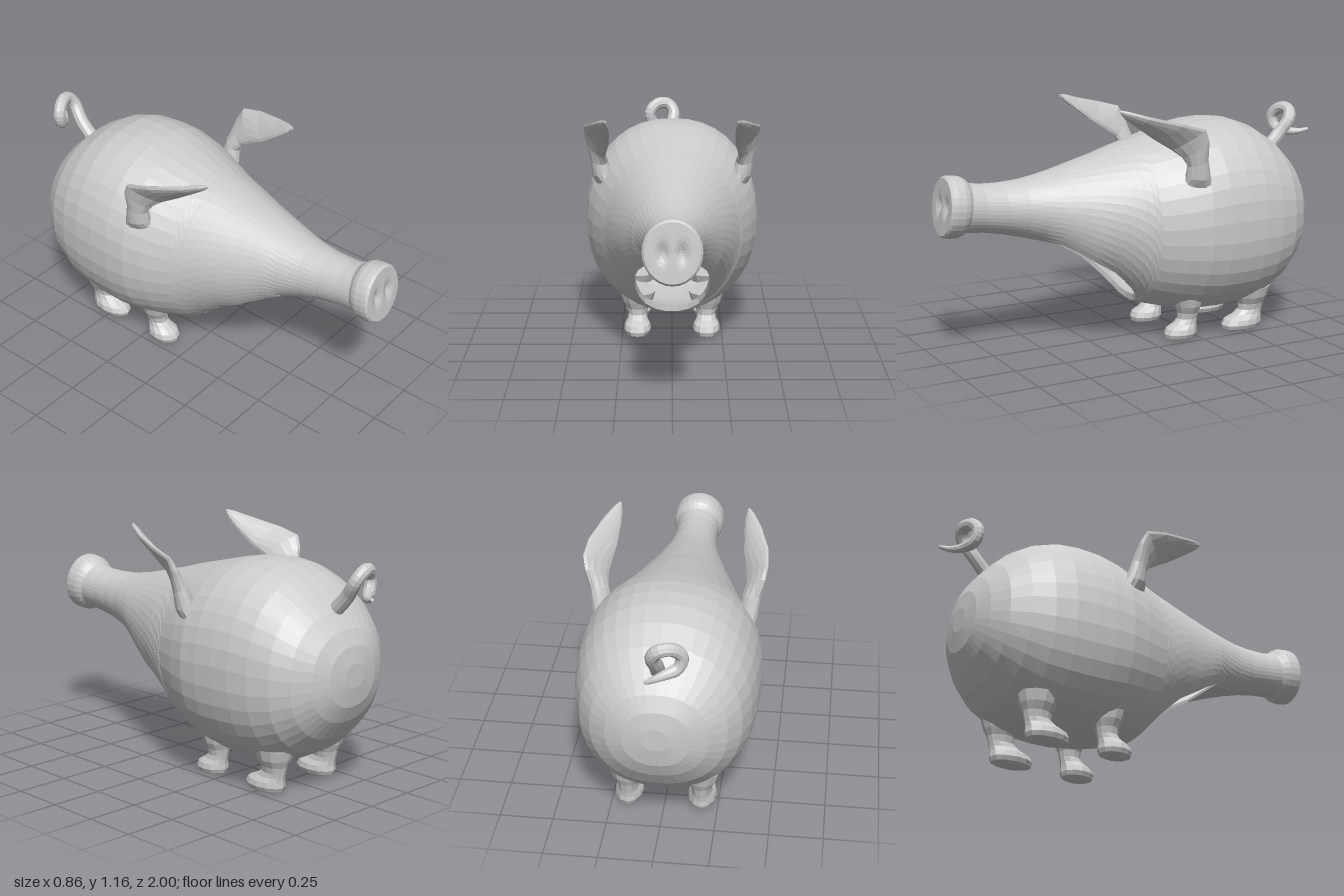
import * as THREE from 'three';

const V = (x, y, z) => new THREE.Vector3(x, y, z);
const TAU = Math.PI * 2;
const grey = new THREE.MeshStandardMaterial({ color: 0xcccccc, flatShading: true });
const greyDouble = new THREE.MeshStandardMaterial({ color: 0xcccccc, flatShading: true, side: THREE.DoubleSide });

// Skin a list of rings (counter-clockwise about the direction of advance).
// skip(i) leaves out the closing quad between ring i and ring i + 1.
function skin(rings, { caps = true, flip = false, skip = () => false } = {}) {
  const pos = [];
  const tri = (a, b, c) => (flip ? [a, c, b] : [a, b, c]).forEach(p => pos.push(p.x, p.y, p.z));
  const n = rings[0].length;
  for (let i = 0; i < rings.length - 1; i++) {
    for (let j = 0; j < n; j++) {
      if (j === n - 1 && skip(i)) continue;
      const k = (j + 1) % n;
      tri(rings[i][j], rings[i][k], rings[i + 1][k]);
      tri(rings[i][j], rings[i + 1][k], rings[i + 1][j]);
    }
  }
  if (caps) {
    [rings[0], rings[rings.length - 1]].forEach((r, end) => {
      const c = r.reduce((s, p) => s.add(p), V(0, 0, 0)).divideScalar(n);
      for (let j = 0; j < n; j++) {
        const k = (j + 1) % n;
        if (end) tri(c, r[j], r[k]); else tri(c, r[k], r[j]);
      }
    });
  }
  const g = new THREE.BufferGeometry();
  g.setAttribute('position', new THREE.Float32BufferAttribute(pos, 3));
  g.computeVertexNormals();
  return g;
}

function add(parent, name, geometry, material = grey) {
  const m = new THREE.Mesh(geometry, material);
  m.name = name;
  parent.add(m);
  return m;
}

// Body sections from rump to neck: z, top, bottom, half width, half width of the flat or open underside
const SECTIONS = [
  [-0.888, 0.64, 0.53, 0.06, 0.01], [-0.874, 0.72, 0.44, 0.15, 0.02], [-0.84, 0.79, 0.365, 0.23, 0.03],
  [-0.78, 0.868, 0.277, 0.308, 0.04], [-0.7, 0.947, 0.198, 0.365, 0.05], [-0.6, 1.01, 0.143, 0.4, 0.05],
  [-0.5, 1.045, 0.12, 0.418, 0.05], [-0.4, 1.055, 0.113, 0.425, 0.05], [-0.3, 1.05, 0.115, 0.427, 0.05],
  [-0.2, 1.03, 0.126, 0.42, 0.05], [-0.1, 1.005, 0.146, 0.39, 0.04], [0, 0.98, 0.173, 0.35, 0.03],
  [0.03, 0.973, 0.185, 0.338, 0.03], [0.04, 0.97, 0.19, 0.334, 0.08], [0.06, 0.965, 0.204, 0.326, 0.13],
  [0.1, 0.955, 0.234, 0.312, 0.16], [0.15, 0.94, 0.27, 0.295, 0.175], [0.2, 0.925, 0.307, 0.277, 0.18],
  [0.3, 0.9, 0.356, 0.24, 0.175], [0.38, 0.88, 0.416, 0.21, 0.158], [0.45, 0.862, 0.478, 0.185, 0.13],
  [0.52, 0.848, 0.528, 0.158, 0.075], [0.6, 0.836, 0.56, 0.132, 0.04], [0.7, 0.83, 0.588, 0.113, 0.02],
  [0.8, 0.832, 0.607, 0.106, 0.02], [0.87, 0.845, 0.613, 0.108, 0.02], [0.92, 0.86, 0.62, 0.11, 0.02],
];
const HOLE_START = 12, HOLE_END = 20, ARC = 36;

// Rounded arc from one edge of the underside round to the other, slightly squarer towards the rump
function bodyRing([z, top, bottom, w, h]) {
  const e = 1 - 0.1 * THREE.MathUtils.clamp((0.1 - z) / 0.4, 0, 1);
  const pow = v => Math.sign(v) * Math.abs(v) ** e;
  const a = Math.asin((h / w) ** (1 / e)), yc = (top + bottom) / 2, ry = (top - bottom) / 2;
  return Array.from({ length: ARC + 1 }, (_, j) => {
    const t = a + (TAU - 2 * a) * j / ARC;
    return V(w * pow(Math.sin(t)), yc - ry * pow(Math.cos(t)), z);
  });
}

function addBody(root) {
  const skip = i => i >= HOLE_START && i < HOLE_END;
  const outer = SECTIONS.map(bodyRing);
  const inner = SECTIONS.map(([z, t, b, w, h]) =>
    bodyRing([z < 0 ? z * 0.965 : z, t - 0.06 * (t - b), b + 0.04 * (t - b), w * 0.94, h * 0.97]));
  add(root, 'body', skin(outer, { skip }));
  add(root, 'hollowInside', skin(inner, { skip, flip: true }));
  // Lip joining both skins round the chest opening
  const loop = rings => {
    const part = rings.slice(HOLE_START, HOLE_END + 1);
    return [...part.map(r => r[0]), ...part.map(r => r[ARC]).reverse()];
  };
  add(root, 'openingRim', skin([loop(outer), loop(inner)], { caps: false }), greyDouble);
}

function addSnout(root) {
  const snout = new THREE.Group();
  snout.name = 'snout';
  const profile = [[0.1, -0.03], [0.111, -0.012], [0.122, 0.002], [0.129, 0.022], [0.131, 0.06], [0.129, 0.082], [0.12, 0.092]]
    .map(p => new THREE.Vector2(...p));
  add(snout, 'snoutRim', new THREE.LatheGeometry(profile, 28), greyDouble);
  // Face of the snout with two shallow nostril dents
  const face = new THREE.RingGeometry(0.001, 0.12, 28, 8);
  const p = face.attributes.position;
  for (let i = 0; i < p.count; i++) {
    const x = Math.abs(p.getX(i)) - 0.042, y = p.getY(i);
    p.setZ(i, -0.018 * Math.exp(-((x / 0.022) ** 2) - (y / 0.035) ** 2));
  }
  face.rotateX(-Math.PI / 2).translate(0, 0.092, 0);
  add(snout, 'snoutFace', face);
  snout.scale.z = 1.1;
  snout.rotation.x = Math.PI / 2 - 0.1;
  snout.position.set(0, 0.735, 0.895);
  root.add(snout);
}

// Ear edges from the base, sunk into the shoulder, to the tip
const EAR_UPPER = [[0.36, 0.76, -0.23], [0.37, 0.83, -0.205], [0.388, 0.92, -0.18], [0.416, 1.01, -0.167],
  [0.428, 1.07, -0.14], [0.42, 1.1, -0.03], [0.375, 1.135, 0.12], [0.335, 1.16, 0.205], [0.312, 1.168, 0.24]];
const EAR_LOWER = [[0.31, 0.78, -0.09], [0.315, 0.84, -0.1], [0.322, 0.89, -0.105], [0.325, 0.93, -0.075],
  [0.314, 0.97, -0.02], [0.3, 1.02, 0.06], [0.294, 1.085, 0.15], [0.296, 1.13, 0.21], [0.304, 1.155, 0.235]];
const EAR_THICK = [0.02, 0.045, 0.038, 0.026, 0.02, 0.018, 0.016, 0.013, 0.007];

function addEar(root, side) {
  const up = EAR_UPPER.map(p => V(...p)), lo = EAR_LOWER.map(p => V(...p));
  const mid = up.map((p, i) => p.clone().add(lo[i]).multiplyScalar(0.5));
  const rings = mid.map((c, i) => {
    const dir = mid[Math.min(i + 1, mid.length - 1)].clone().sub(mid[Math.max(i - 1, 0)]);
    const e = up[i].clone().sub(lo[i]).multiplyScalar(0.5);
    const n = dir.cross(e).normalize().multiplyScalar(EAR_THICK[i]);
    return Array.from({ length: 12 }, (_, j) => {
      const t = TAU * j / 12;
      const q = c.clone().addScaledVector(e, Math.cos(t)).addScaledVector(n, Math.sin(t));
      q.x *= side;
      return q;
    });
  });
  add(root, side > 0 ? 'leftEar' : 'rightEar', skin(rings, { flip: side < 0 }));
}

// Leg rings from sole to hip: y, half width, z centre, half depth
const LEG = [[0.005, 0.036, 0.005, 0.055], [0.015, 0.058, 0.008, 0.078], [0.035, 0.068, 0.007, 0.084],
  [0.06, 0.064, 0.002, 0.078], [0.082, 0.05, -0.018, 0.06], [0.105, 0.046, -0.032, 0.05],
  [0.135, 0.054, -0.034, 0.053], [0.17, 0.075, -0.033, 0.066], [0.22, 0.09, -0.03, 0.08]];

function addLeg(root, name, x, z, stretch) {
  const rings = LEG.map(([y, w, zc, d]) => Array.from({ length: 12 }, (_, j) => {
    const t = TAU * j / 12;
    return V(x + w * Math.cos(t), y, z + stretch * (zc - d * Math.sin(t)));
  }));
  add(root, name, skin(rings));
}

function addTail(root) {
  const curve = new THREE.CatmullRomCurve3([
    [0, 0.86, -0.76], [0, 0.94, -0.835], [0.01, 1.01, -0.885], [-0.02, 1.05, -0.9], [-0.075, 1.053, -0.885],
    [-0.115, 1.01, -0.865], [-0.1, 0.955, -0.872], [-0.045, 0.937, -0.905], [0, 0.938, -0.95], [0.025, 0.95, -0.993],
  ].map(p => V(...p)));
  const N = 36, f = curve.computeFrenetFrames(N);
  const rings = f.tangents.map((_, i) => {
    const u = i / N, r = 0.034 - 0.008 * u - 0.018 * Math.max(0, (u - 0.75) / 0.25);
    return Array.from({ length: 10 }, (_, j) => curve.getPointAt(u)
      .addScaledVector(f.normals[i], r * Math.cos(TAU * j / 10))
      .addScaledVector(f.binormals[i], r * Math.sin(TAU * j / 10)));
  });
  add(root, 'tail', skin(rings));
}

export function createModel() {
  const root = new THREE.Group();
  root.name = 'hollowPig';
  addBody(root);
  addSnout(root);
  for (const side of [1, -1]) {
    const label = side > 0 ? 'left' : 'right';
    addEar(root, side);
    addLeg(root, label + 'FrontLeg', side * 0.173, -0.168, 1);
    addLeg(root, label + 'BackLeg', side * 0.173, -0.52, 1.3);
  }
  addTail(root);
  return root;
}
